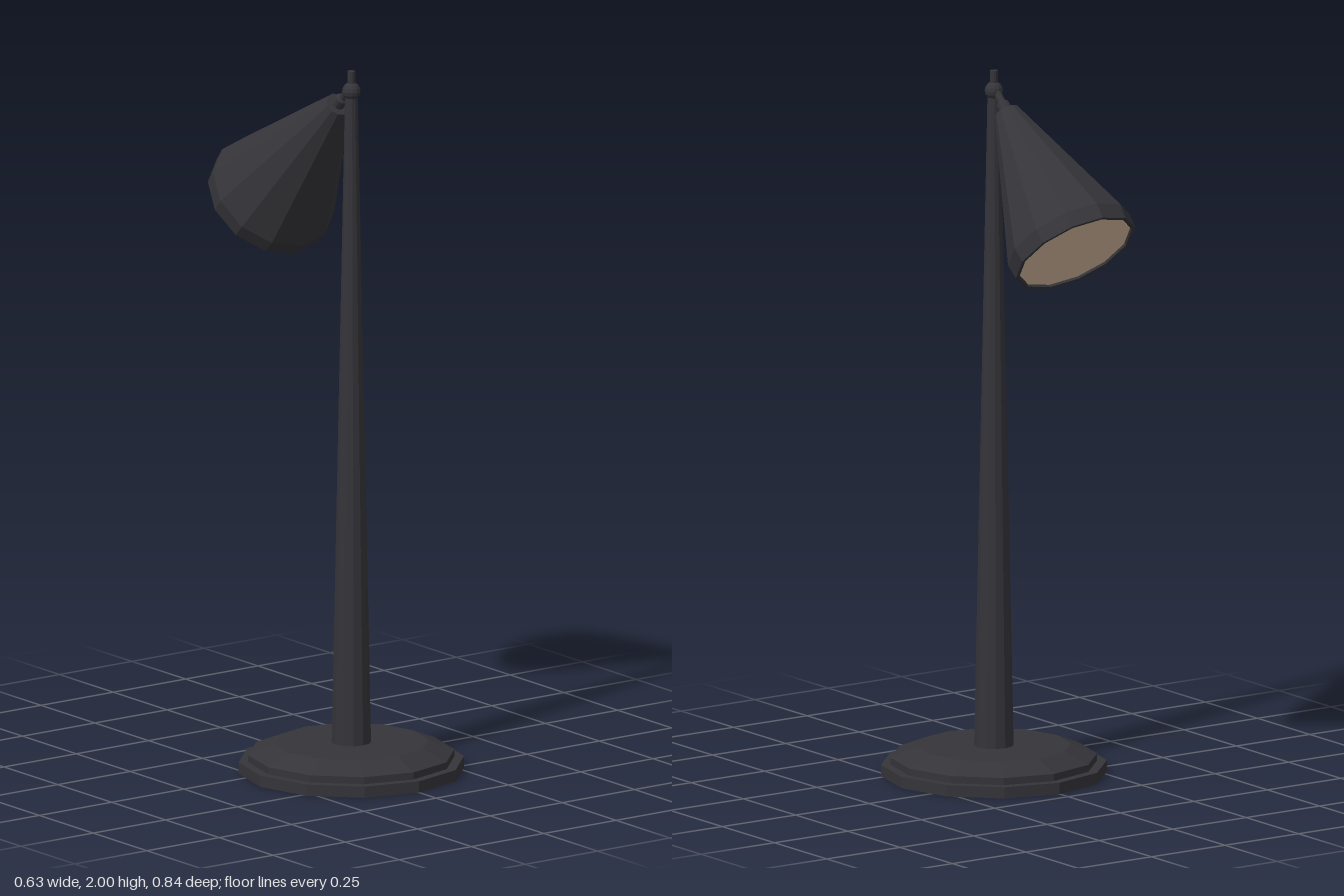
import * as THREE from 'three';

const SIDES = 12;

const darkMetal = new THREE.MeshStandardMaterial({ color: 0x353439 });
darkMetal.name = 'dark metal';
const warmGlass = new THREE.MeshStandardMaterial({ color: 0xdabfa2 });
warmGlass.name = 'warm glass';

// Faceted mesh with one normal per face
function faceted(name, geometry, material = darkMetal) {
  const flat = geometry.index ? geometry.toNonIndexed() : geometry;
  flat.computeVertexNormals();
  const mesh = new THREE.Mesh(flat, material);
  mesh.name = name;
  return mesh;
}

// Turned part from [radius, height] pairs, listed from bottom to top
function turned(name, profile, sides = SIDES) {
  const points = profile.map(([r, y]) => new THREE.Vector2(r, y));
  return faceted(name, new THREE.LatheGeometry(points, sides));
}

export function createModel() {
  const model = new THREE.Group();
  model.name = 'deskLamp';

  // Stand, set towards the front
  const stand = new THREE.Group();
  stand.name = 'stand';
  stand.position.z = 0.106;
  model.add(stand);

  stand.add(turned('base', [
    [0, 0], [0.315, 0], [0.315, 0.032],
    [0.288, 0.032], [0.288, 0.052], [0.215, 0.082], [0, 0.082],
  ]));
  stand.add(turned('pole', [[0.055, 0.08], [0.018, 1.925], [0, 1.925]]));

  const ball = faceted('ballJoint', new THREE.SphereGeometry(0.026, SIDES, 8));
  ball.position.y = 1.943;
  stand.add(ball);
  stand.add(turned('finial', [[0.011, 1.95], [0.011, 2], [0, 2]]));

  // Head, hinged at the ball and tilted towards the back
  const head = new THREE.Group();
  head.name = 'head';
  head.position.set(0, 1.893, 0.045);
  head.rotation.x = 0.768;
  model.add(head);

  head.add(turned('shade', [
    [0, -0.462], [0.17, -0.462], [0.171, -0.475], [0.181, -0.475],
    [0.185, -0.43], [0.036, 0], [0, 0],
  ]));
  head.add(turned('neck', [
    [0.018, -0.005], [0.018, 0.028], [0.011, 0.034], [0.011, 0.085], [0, 0.085],
  ]));

  // Light panel set inside the rim
  const panel = faceted('lightPanel', new THREE.CylinderGeometry(0.168, 0.168, 0.006, SIDES), warmGlass);
  panel.position.y = -0.466;
  head.add(panel);

  return model;
}
